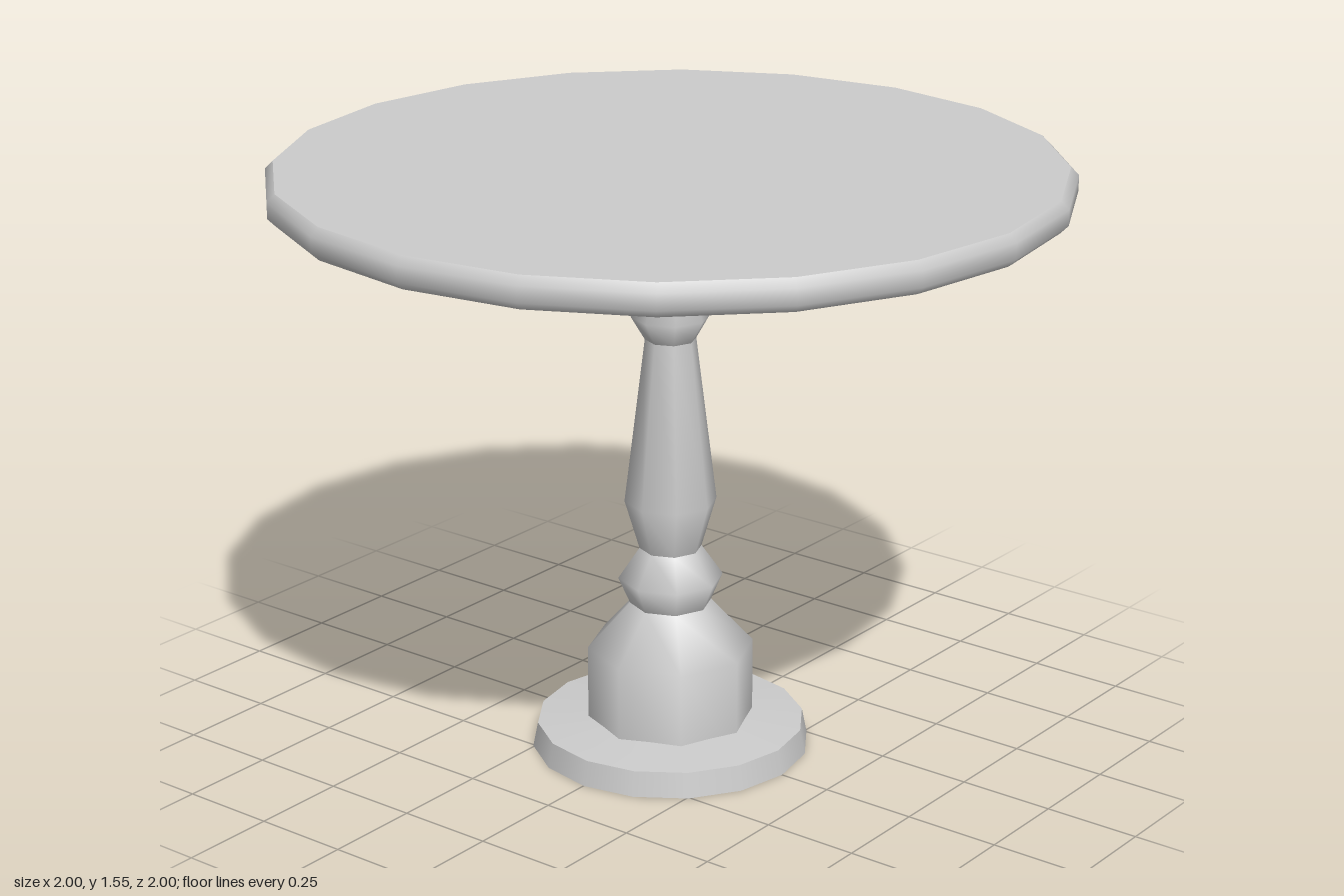
import * as THREE from 'three';

const material = new THREE.MeshStandardMaterial({ color: 0xcccccc, side: THREE.DoubleSide });

// Turned part: profile of [radius, height] from bottom to top
function turned(name, sides, profile) {
  const points = profile.map(([r, y]) => new THREE.Vector2(r, y));
  const mesh = new THREE.Mesh(new THREE.LatheGeometry(points, sides), material);
  mesh.name = name;
  return mesh;
}

// Flat polygon whose corners match a turned part with the same side count
function disc(name, sides, radius, y, facing) {
  const mesh = new THREE.Mesh(new THREE.CircleGeometry(radius, sides), material);
  mesh.rotation.x = -facing * Math.PI / 2;
  mesh.position.y = y;
  mesh.name = name;
  return mesh;
}

export function createModel() {
  const table = new THREE.Group();
  table.name = 'pedestalTable';

  // Foot: shallow hollow dish, open underneath
  table.add(
    turned('footRim', 16, [[0.36, 0], [0.347, 0.065]]),
    turned('footTop', 16, [[0.347, 0.065], [0.18, 0.08]]),
    disc('footCentre', 16, 0.18, 0.08, 1),
  );

  // Column: eight-sided turned sections stacked with a crease between them
  const sections = {
    plinth: [[0.215, 0], [0.215, 0.27], [0.105, 0.39]],
    lowerRing: [[0.105, 0.39], [0.135, 0.46], [0.08, 0.54]],
    shaft: [[0.08, 0.54], [0.118, 0.67], [0.065, 1.1]],
    upperRing: [[0.065, 1.1], [0.1, 1.16], [0.065, 1.3]],
    flare: [[0.065, 1.3], [0.15, 1.475]],
  };
  for (const [name, profile] of Object.entries(sections)) table.add(turned(name, 8, profile));

  // Round top with a bevelled rim
  const top = new THREE.Group();
  top.name = 'tableTop';
  top.add(
    turned('topRim', 20, [[0.98, 1.47], [1, 1.49], [1, 1.53], [0.98, 1.55]]),
    disc('topSurface', 20, 0.98, 1.55, 1),
    disc('topUnderside', 20, 0.98, 1.47, -1),
  );
  table.add(top);
  return table;
}
